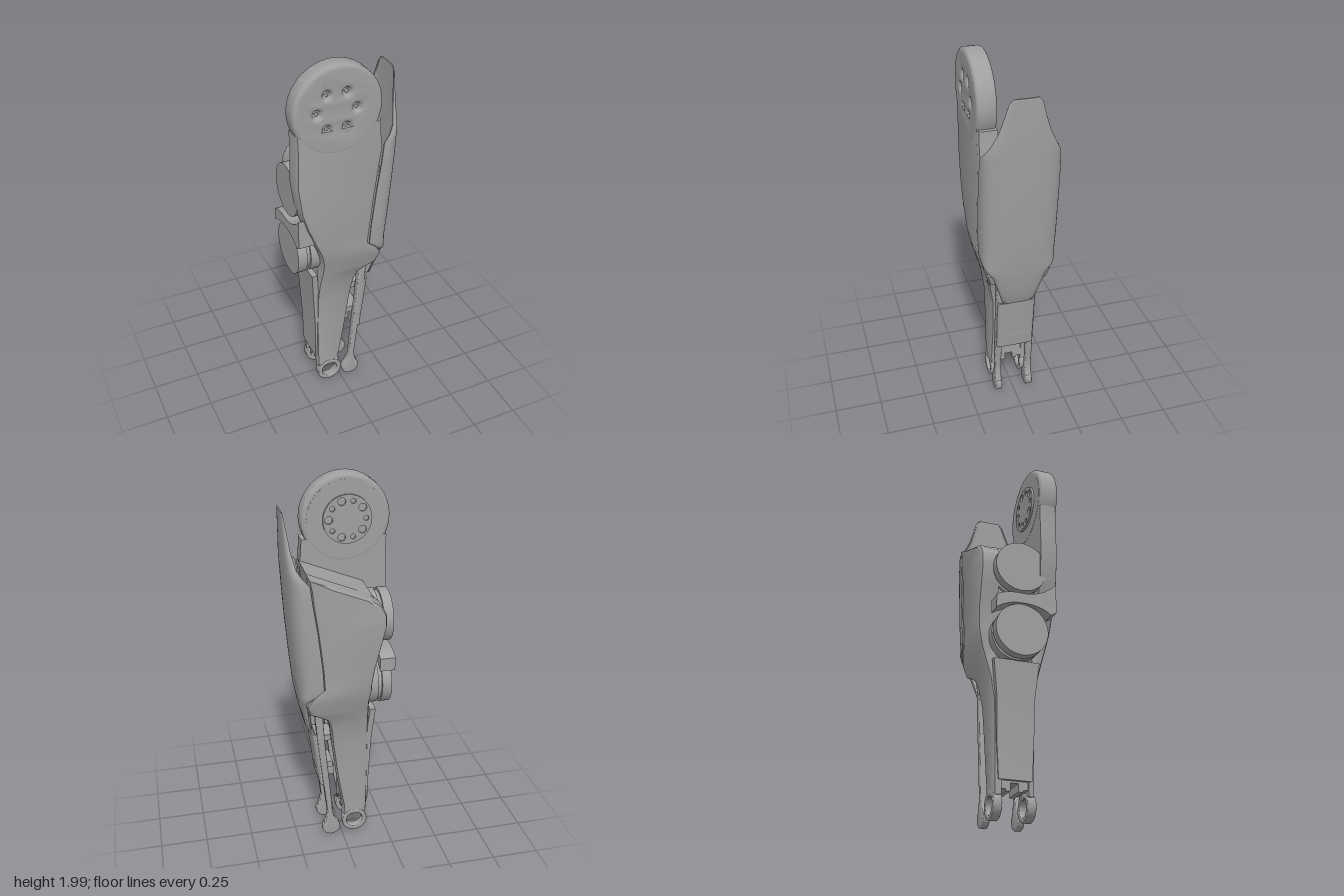
import * as THREE from 'three';
import { mergeVertices, toCreasedNormals } from 'three/addons/utils/BufferGeometryUtils.js';

const grey = new THREE.MeshStandardMaterial({ color: 0xa0a0a0, side: THREE.DoubleSide });
grey.name = 'grey';

export function createModel() {
  const model = new THREE.Group();
  const add = (name, geometry, x = 0, y = 0, z = 0) => {
    const mesh = new THREE.Mesh(geometry, grey);
    mesh.name = name;
    mesh.position.set(x, y, z);
    model.add(mesh);
    return mesh;
  };

  // Skin a stack of closed rings and cap both ends
  const loft = (rings) => {
    const n = rings[0].length, index = [];
    for (let i = 0; i < rings.length - 1; i++) {
      for (let j = 0; j < n; j++) {
        const a = i * n + j, b = i * n + (j + 1) % n;
        index.push(a, a + n, b, b, a + n, b + n);
      }
    }
    // Each cap pairs opposite points of its ring
    [0, (rings.length - 1) * n].forEach((o, k) => {
      for (let j = 0; j < n / 2 - 1; j++) {
        const q = [o + j, o + j + 1, o + n - 2 - j, o + n - 1 - j];
        if (k) index.push(q[0], q[2], q[1], q[0], q[3], q[2]);
        else index.push(q[0], q[1], q[2], q[0], q[2], q[3]);
      }
    });
    const g = new THREE.BufferGeometry();
    g.setAttribute('position', new THREE.Float32BufferAttribute(rings.flat(2), 3));
    g.setIndex(index);
    return toCreasedNormals(mergeVertices(g, 1e-5), 0.6);
  };

  // Smoothly read a value from a [position, value] list
  const lookup = (list, y) => {
    let i = 0;
    while (i < list.length - 2 && y > list[i + 1][0]) i++;
    const t = THREE.MathUtils.clamp((y - list[i][0]) / (list[i + 1][0] - list[i][0]), 0, 1);
    return THREE.MathUtils.lerp(list[i][1], list[i + 1][1], t);
  };
  const outerZ = [[0, 0.105], [0.5, 0.106], [0.62, 0.111], [0.72, 0.128], [0.82, 0.155],
    [0.9, 0.178], [0.97, 0.192], [1.1, 0.198], [1.6, 0.198]];
  const innerZ = [[0, 0.068], [0.65, 0.07], [0.85, 0.1], [2, 0.1]];

  // Side plate from rows of [y, left x, right x], with softened outer edges
  const sidePlate = (rows, s) => loft(rows.map(([y, a, b]) => {
    const zo = lookup(outerZ, y), zi = lookup(innerZ, y);
    const r = Math.min(0.025, (b - a) / 3);
    return [[a, zi], [a, zo - r], [a + r * 0.3, zo - r * 0.3], [a + r, zo],
      [b - r, zo], [b - r * 0.3, zo - r * 0.3], [b, zo - r], [b, zi]]
      .map(([x, z]) => [x, y, z * s]);
  }));

  const lower = [[0.13, -0.138, -0.004], [0.18, -0.141, -0.008], [0.25, -0.142, 0.005], [0.4, -0.143, 0.03],
    [0.6, -0.142, 0.055], [0.72, -0.138, 0.07], [0.77, -0.135, 0.09], [0.8, -0.134, 0.14],
    [0.82, -0.132, 0.185], [0.88, -0.132, 0.2], [0.93, -0.14, 0.17]];
  add('frontPlate', sidePlate([...lower, [0.98, -0.155, 0.115], [1.05, -0.185, 0.12],
    [1.15, -0.225, 0.13], [1.25, -0.255, 0.14], [1.4, -0.274, 0.16], [1.54, -0.271, 0.178],
    [1.6, -0.27, 0.17], [1.68, -0.272, 0.165]], 1));
  add('backPlate', sidePlate([...lower, [0.98, -0.14, 0.115], [1.08, -0.155, 0.122],
    [1.2, -0.185, 0.135], [1.3, -0.208, 0.147], [1.36, -0.206, 0.155], [1.41, -0.18, 0.163],
    [1.45, -0.13, 0.168], [1.52, 0.04, 0.176], [1.575, 0.17, 0.18]], -1));

  const extrude = (shape, depth, bevel = 0) => toCreasedNormals(new THREE.ExtrudeGeometry(shape, {
    depth: depth - 2 * bevel, bevelEnabled: bevel > 0, bevelSize: bevel, bevelThickness: bevel,
    bevelOffset: -bevel, bevelSegments: 4, curveSegments: 32,
  }).translate(0, 0, bevel), 0.6);
  const polygon = (points) => new THREE.Shape(points.map(([x, y]) => new THREE.Vector2(x, y)));
  const circle = (x, y, r, Type = THREE.Shape) => new Type().absarc(x, y, r, 0, Math.PI * 2);

  // Core between the two plates
  add('core', extrude(polygon([[0.18, 1.575], [-0.15, 1.44], [-0.175, 1.38], [-0.165, 1.1], [-0.13, 0.98],
    [-0.13, 0.72], [0.05, 0.72], [0.1, 0.8], [0.16, 0.85], [0.11, 0.98]]), 0.24), 0, 0, -0.12);

  // Hip disc with a ring of screw holes
  const hip = circle(0, 0, 0.227);
  const screws = [];
  for (let i = 0; i < 6; i++) screws.push([0.1 * Math.cos(i * Math.PI / 3) - 0.006, 0.1 * Math.sin(i * Math.PI / 3)]);
  screws.forEach(([x, y]) => hip.holes.push(circle(x, y, 0.019, THREE.Path)));
  add('hipDisc', extrude(hip, 0.1, 0.02), -0.0625, 1.773, 0.099);
  screws.forEach(([x, y]) => {
    add('screw', new THREE.CylinderGeometry(0.01, 0.01, 0.075, 16).rotateX(Math.PI / 2), x - 0.0625, y + 1.773, 0.145);
  });
  const flange = circle(0, 0, 0.125);
  for (let i = 0; i < 10; i++) {
    const a = i * Math.PI / 5;
    flange.holes.push(circle(0.095 * Math.cos(a), 0.095 * Math.sin(a), i % 2 ? 0.013 : 0.02, THREE.Path));
  }
  add('hipFlange', extrude(flange, 0.014), -0.068, 1.773, 0.086);
  add('hipBacking', new THREE.CylinderGeometry(0.2, 0.2, 0.03, 48).rotateX(Math.PI / 2), -0.0625, 1.773, 0.113);

  // Two motors on the rear edge
  [1.29, 0.935].forEach((y) => {
    const across = (r, h) => new THREE.CylinderGeometry(r, r, h, 48).rotateZ(Math.PI / 2);
    add('motorFace', across(0.138, 0.05), -0.23, y, 0);
    add('motorNeck', across(0.125, 0.03), -0.195, y, 0);
    add('motorBase', across(0.137, 0.06), -0.155, y, 0);
  });

  // Curved guard between the motors
  const guard = new THREE.Shape();
  guard.moveTo(-0.18, 1.21);
  guard.quadraticCurveTo(-0.1, 1.12, 0.02, 1.13);
  guard.quadraticCurveTo(0.1, 1.13, 0.14, 1.1);
  guard.lineTo(0.14, 1.03);
  guard.quadraticCurveTo(0.08, 1.075, 0, 1.075);
  guard.quadraticCurveTo(-0.1, 1.075, -0.15, 1.03);
  guard.lineTo(-0.18, 1.05);
  add('motorGuard', extrude(guard, 0.08).rotateY(Math.PI / 2), -0.268, 0, 0);

  // Flat cover down the rear of the shin
  add('rearCover', loft([[0.2, -0.147, 0.085], [0.4, -0.149, 0.095], [0.62, -0.16, 0.1], [0.8, -0.175, 0.12]]
    .map(([y, x, w]) => [[x, y, -w], [x, y, w], [x + 0.03, y, w], [x + 0.03, y, -w]])));

  // Shin filler with a stepped notch at its foot
  add('shinCore', extrude(polygon([[-0.07, 0.16], [-0.045, 0.16], [-0.045, 0.15], [-0.02, 0.15], [-0.02, 0.19],
    [0.02, 0.19], [0.02, 0.15], [0.045, 0.15], [0.045, 0.16], [0.07, 0.16], [0.07, 0.75], [-0.07, 0.75]]),
  0.125).rotateY(Math.PI / 2), -0.13, 0, 0);

  // Thin curved cover from rows of [y, outer x, edge x, half width]
  const cover = (rows, power, t) => loft(rows.map(([y, xo, xe, w]) => {
    const arc = (inset) => Array.from({ length: 25 }, (_, i) => {
      const a = (i / 24 - 0.5) * Math.PI, s = Math.sin(a);
      return [xe + (xo - inset - xe) * Math.pow(Math.max(0, Math.cos(a)), power), y,
        (w - inset) * Math.sign(s) * Math.pow(Math.abs(s), power)];
    });
    return [...arc(0), ...arc(t).reverse()];
  }));
  add('calfShell', cover([[0.68, 0.178, 0.166, 0.065], [0.7, 0.187, 0.168, 0.088], [0.8, 0.211, 0.185, 0.118],
    [0.88, 0.226, 0.195, 0.145], [0.91, 0.23, 0.19, 0.172], [0.94, 0.234, 0.16, 0.188], [0.98, 0.24, 0.115, 0.195],
    [1.1, 0.251, 0.122, 0.199], [1.3, 0.267, 0.145, 0.2], [1.45, 0.276, 0.168, 0.199], [1.55, 0.281, 0.18, 0.196],
    [1.58, 0.282, 0.21, 0.187], [1.62, 0.284, 0.238, 0.165], [1.7, 0.286, 0.257, 0.125],
    [1.78, 0.288, 0.268, 0.1], [1.85, 0.289, 0.278, 0.08], [1.875, 0.289, 0.281, 0.06]], 0.6, 0.007));
  add('ankleCover', cover([[0.35, 0.122, 0.105, 0.1], [0.4, 0.13, 0.09, 0.101], [0.5, 0.142, 0.1, 0.102],
    [0.62, 0.157, 0.115, 0.102], [0.67, 0.163, 0.13, 0.1]], 0.35, 0.008));
  [0.45, 0.62].forEach((y) => add('coverBracket', new THREE.BoxGeometry(0.09, 0.035, 0.12), 0.09, y, 0));
  add('coverStrut', new THREE.BoxGeometry(0.05, 0.06, 0.05), 0.055, 0.39, 0);
  add('shellBracket', new THREE.BoxGeometry(0.1, 0.06, 0.08), 0.19, 1.3, 0);

  // Ankle eyes and push rods, mirrored front to back
  const rod = new THREE.Shape();
  rod.moveTo(0.105, 0.82);
  rod.lineTo(0.15, 0.82);
  rod.bezierCurveTo(0.135, 0.6, 0.115, 0.45, 0.084, 0.17);
  rod.quadraticCurveTo(0.085, 0.12, 0.1, 0.09);
  rod.absarc(0.062, 0.06, 0.05, 0.65, Math.PI - 0.65, true);
  rod.quadraticCurveTo(0.05, 0.12, 0.055, 0.17);
  rod.bezierCurveTo(0.075, 0.45, 0.1, 0.6, 0.105, 0.82);
  const eye = circle(-0.07, 0.09, 0.07);
  eye.holes.push(circle(-0.07, 0.09, 0.045, THREE.Path));
  [1, -1].forEach((s) => {
    add('ankleEye', extrude(eye, 0.045, 0.005), 0, 0, s * 0.085 - 0.0225);
    add('pushRod', extrude(rod, 0.036, 0.006), 0, 0, s * 0.088 - 0.018);
  });
  return model;
}
